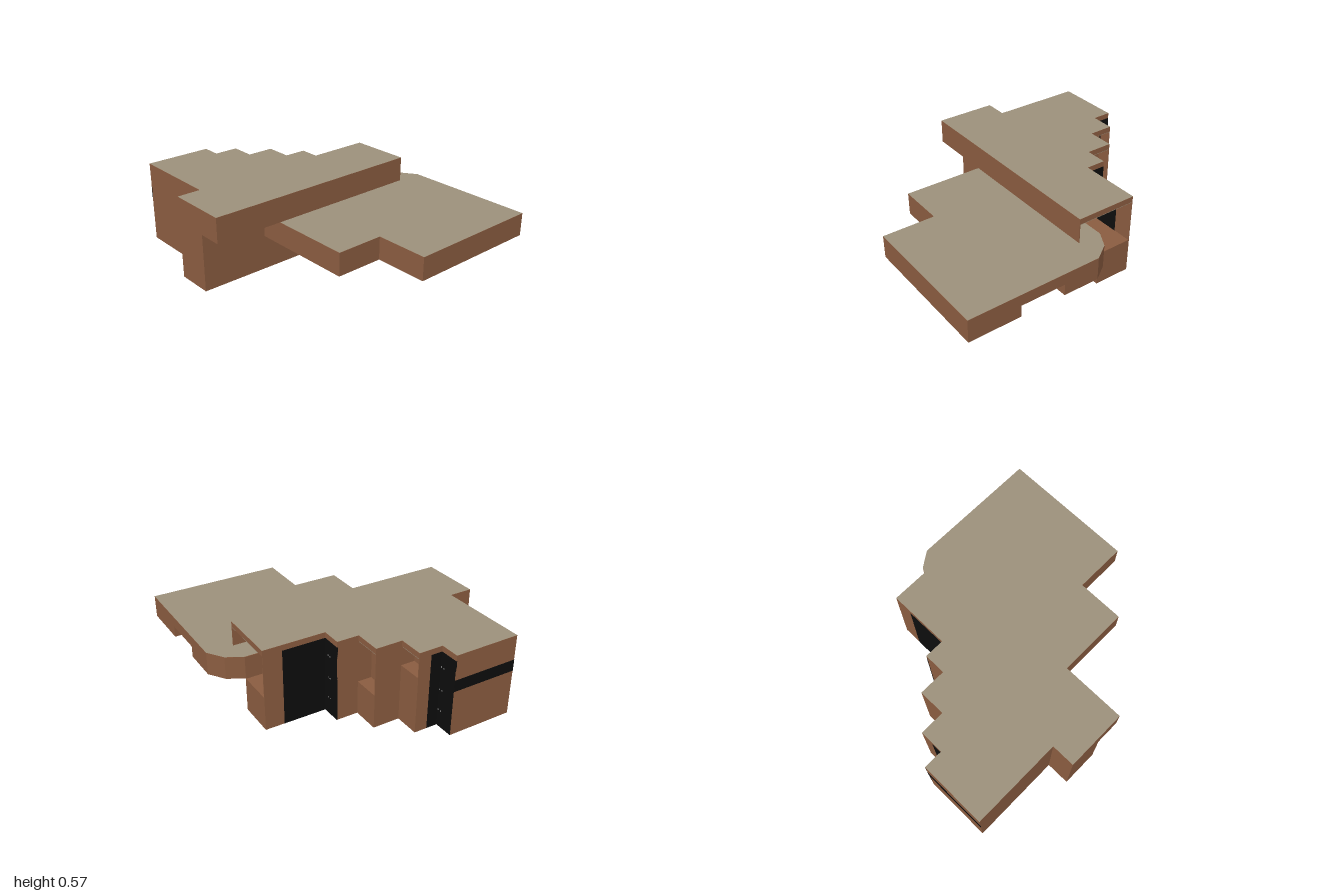
import * as THREE from 'three';

const mat = (name, color) => Object.assign(new THREE.MeshStandardMaterial({ color }), { name });

export function createModel() {
  const brown = mat('brown wall', 0x8a5c40);
  const taupe = mat('taupe roof', 0x9c907b);
  const black = mat('black glass', 0x0d0d0d);
  const grey = mat('grey handle', 0x9a9a9a);
  const model = new THREE.Group();
  model.name = 'house';

  const add = (name, geometry, material) => {
    const mesh = new THREE.Mesh(geometry, material);
    mesh.name = name;
    model.add(mesh);
    return mesh;
  };
  const toShape = (pts) => new THREE.Shape(pts.map(([x, z]) => new THREE.Vector2(x, -z)));

  // Upright prism over a plan outline of [x, z] points
  const prism = (name, pts, y0, y1) => {
    const g = new THREE.ExtrudeGeometry(toShape(pts), { depth: y1 - y0, bevelEnabled: false });
    g.rotateX(-Math.PI / 2).translate(0, y0, 0);
    return add(name, g, brown);
  };
  // Flat roof covering
  const sheet = (name, pts, y) => {
    const g = new THREE.ShapeGeometry(toShape(pts));
    g.rotateX(-Math.PI / 2).translate(0, y, 0);
    return add(name, g, taupe);
  };
  // Box given by its limits
  const box = (name, material, [x0, x1], [y0, y1], [z0, z1]) => {
    const g = new THREE.BoxGeometry(x1 - x0, y1 - y0, z1 - z0);
    g.translate((x0 + x1) / 2, (y0 + y1) / 2, (z0 + z1) / 2);
    return add(name, g, material);
  };

  // Stepped house plan, optionally with the open side room and balcony recesses
  const t = 0.005;
  const plan = (front, room, lowBalcony, highBalcony) => [
    [-0.885, front], [0.7, front],
    ...(room ? [[0.7, front - t], [0.265, front - t], [0.265, -0.36 + t], [0.7, -0.36 + t]] : []),
    [0.7, -0.36], [0.265, -0.36], [0.265, -0.5],
    ...(lowBalcony ? [[0.01, -0.5], [0.01, -0.69 + t], [0.11, -0.69 + t]] : [[0.11, -0.5]]),
    [0.11, -0.69],
    ...(highBalcony ? [[-0.18, -0.69], [-0.18, -0.865 + t], [-0.08, -0.865 + t]] : [[-0.08, -0.69]]),
    [-0.08, -0.865], [-0.25, -0.865], [-0.25, -1],
    [-0.72, -1], [-0.72, -0.36], [-0.885, -0.36],
  ];

  // House storeys; the upper one overhangs the front
  prism('lowerStorey', plan(-0.1, false, false, false), 0, 0.24);
  prism('middleStorey', plan(-0.1, true, true, false), 0.24, 0.4);
  prism('upperStorey', plan(0.07, true, true, true), 0.4, 0.535);
  prism('roofBand', plan(0.07, false, false, false), 0.535, 0.574);
  sheet('roof', plan(0.07, false, false, false), 0.575);

  // Ceilings of the open spaces
  const ceiling = [0.531, 0.5345];
  box('roomCeiling', taupe, [0.266, 0.699], ceiling, [-0.354, 0.064]);
  box('balconyCeiling', taupe, [0.011, 0.109], ceiling, [-0.684, -0.501]);
  box('balconyCeiling', taupe, [-0.179, -0.081], ceiling, [-0.859, -0.691]);

  // Raised front wing with a clipped corner and a side recess beneath
  const wing = (notch) => [
    [-0.405, -0.1], [-0.405, 0.635], [-0.07, 0.635], [-0.07, 1], [0.885, 1],
    ...(notch ? [[0.885, 0.64], [0.7, 0.64], [0.7, 0.325], [0.885, 0.325]] : []),
    [0.885, 0.07], [0.81, -0.04], [0.7, -0.1],
  ];
  prism('wingBase', wing(true), 0.24, 0.32);
  prism('wingTop', wing(false), 0.32, 0.399);
  sheet('wingRoof', wing(false), 0.4);
  box('recessGlass', black, [0.796, 0.804], [0.24, 0.32], [0.325, 0.64]);

  // Tall windows wrapping the step corners, and the back ribbon window
  const tall = [0.001, 0.535];
  box('backWindow', black, [0.265, 0.567], tall, [-0.362, -0.353]);
  box('sideWindow', black, [0.26, 0.267], tall, [-0.5, -0.36]);
  box('cornerWindow', black, [-0.255, -0.248], tall, [-1, -0.865]);
  box('cornerWindowReturn', black, [-0.25, -0.17], tall, [-0.867, -0.86]);
  box('ribbonWindow', black, [-0.72, -0.25], [0.32, 0.4], [-1.002, -0.995]);

  // Small handles on the tall windows
  for (const [x, z] of [[0.267, -0.41], [-0.248, -0.885]])
    for (const y of [0.12, 0.27, 0.43])
      for (const dz of [-0.012, 0.012])
        box('handle', grey, [x, x + 0.001], [y - 0.004, y + 0.004], [z + dz - 0.004, z + dz + 0.004]);

  return model;
}
